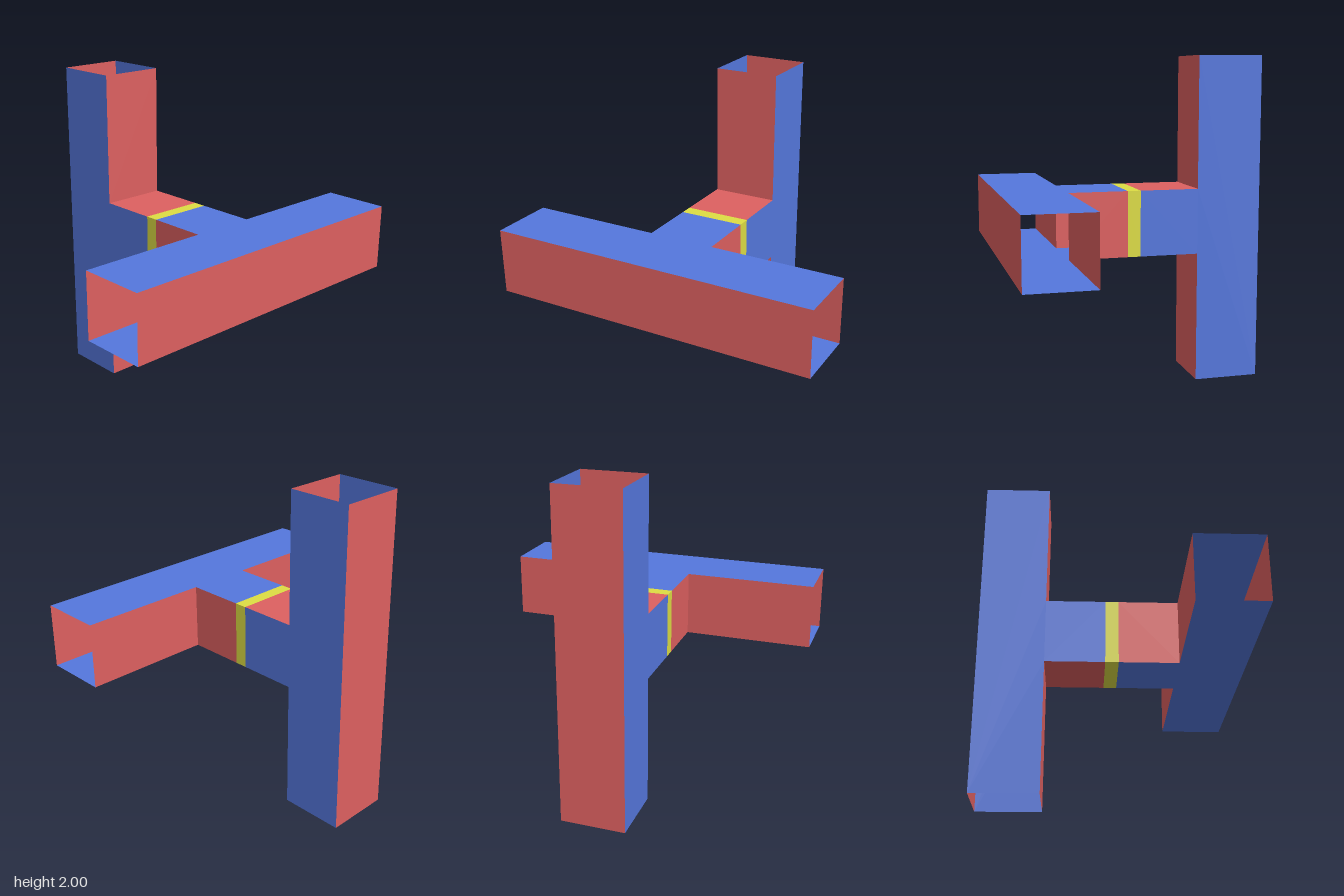
import * as THREE from 'three';

const paint = (color) => new THREE.MeshStandardMaterial({ color, side: THREE.DoubleSide, flatShading: true });
const blue = paint(0x5577dd), red = paint(0xdd6060), yellow = paint(0xdddd44);

const R = 0.2;      // half width of the square ducts
const BAND = 0.04;  // half length of the joining band

// Thin wall; axis is the direction it faces.
function wall(name, w, h, axis, x, y, z, material) {
  const g = new THREE.PlaneGeometry(w, h);
  if (axis === 'x') g.rotateY(Math.PI / 2);
  if (axis === 'y') g.rotateX(Math.PI / 2);
  const m = new THREE.Mesh(g, material);
  m.name = name;
  m.position.set(x, y, z);
  return m;
}

// Open-ended duct along y with a side branch reaching towards +x.
function tee(name) {
  const group = new THREE.Group();
  group.name = name;
  const outline = new THREE.Shape([
    [-0.8, -1], [-0.4, -1], [-0.4, -R], [-BAND, -R],
    [-BAND, R], [-0.4, R], [-0.4, 1], [-0.8, 1],
  ].map(([x, y]) => new THREE.Vector2(x, y)));
  group.add(wall('outerWall', 2 * R, 2, 'x', -0.8, 0, 0, red));
  for (const s of [-1, 1]) {
    const plate = new THREE.Mesh(new THREE.ShapeGeometry(outline), blue);
    plate.name = 'teePlate';
    plate.position.z = s * R;
    if (s < 0) plate.geometry.translate(0, 0, 0).scale(-1, 1, 1).rotateY(Math.PI);
    group.add(plate);
    // inner wall is split by the branch opening
    group.add(wall('innerWall', 2 * R, 1 - R, 'x', -0.4, s * (1 + R) / 2, 0, red));
    group.add(wall('branchWall', 0.4 - BAND, 2 * R, 'y', -(0.4 + BAND) / 2, s * R, 0, red));
  }
  return group;
}

export function createModel() {
  const model = new THREE.Group();
  model.name = 'crossedDucts';

  const upright = tee('uprightDuct');
  const level = tee('levelDuct');
  level.rotation.set(Math.PI / 2, Math.PI, 0); // mirrored side, laid along z

  // Square band where the two branches meet
  const band = new THREE.Group();
  band.name = 'joiningBand';
  for (const s of [-1, 1]) {
    band.add(wall('bandSide', 2 * BAND, 2 * R, 'z', 0, 0, s * R, yellow));
    band.add(wall('bandTopOrBottom', 2 * BAND, 2 * R, 'y', 0, s * R, 0, yellow));
  }

  for (const part of [upright, level, band]) {
    part.position.y = 1;
    model.add(part);
  }
  return model;
}
